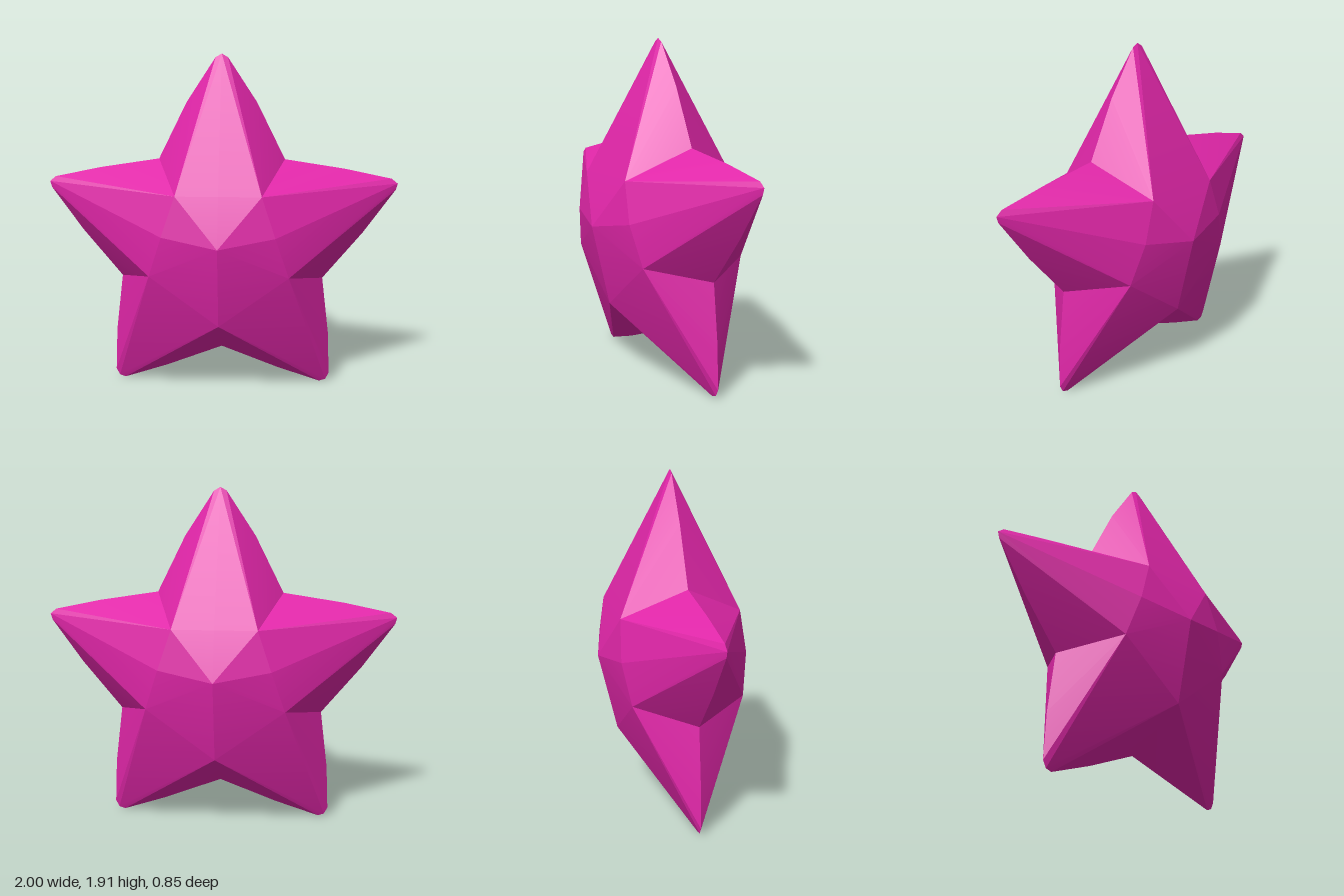
import * as THREE from 'three';
import { toCreasedNormals } from 'three/addons/utils/BufferGeometryUtils.js';

export function createModel() {
  const group = new THREE.Group();
  group.name = 'star';
  const magenta = new THREE.MeshStandardMaterial({ color: 0xe026a8 });
  magenta.name = 'magenta';

  // Puffy front: centre, valley corners and the raised root of the side arm
  const centre = [0, 0.875, 0.425];
  const upperValley = [0.235, 1.15, 0.34];
  const armRoot = [0.31, 0.927, 0.355];
  const lowerValley = [0.385, 0.7, 0.315];
  const bottomValley = [0, 0.42, 0.32];
  const topMiddle = [0, 1.15, 0.34];

  // Half outline in the z = 0 plane, one run per valley corner, tips blunted
  const topTip = [0, 1.91, 0], sideTip = [1, 1.185, 0], footTip = [0.615, 0.012, 0];
  const runs = [
    [upperValley, [topTip, [0.035, 1.89, 0], [0.2, 1.64, 0], [0.36, 1.32, 0],
      [0.7, 1.268, 0], [0.965, 1.213, 0], sideTip]],
    [lowerValley, [sideTip, [0.99, 1.15, 0], [0.81, 0.9, 0], [0.585, 0.63, 0],
      [0.625, 0.3, 0], [0.635, 0.05, 0], footTip]],
    [bottomValley, [footTip, [0.58, 0, 0], [0.33, 0.08, 0], [0, 0.205, 0]]],
  ];

  // Front quarter: arm faces, body fan, then the walls down to the outline
  const faces = [
    [topTip, topMiddle, upperValley],
    [sideTip, upperValley, armRoot],
    [sideTip, armRoot, lowerValley],
    [footTip, lowerValley, bottomValley],
  ];
  const rim = [topMiddle, upperValley, armRoot, lowerValley, bottomValley];
  const fan = (hub, pts) => {
    for (let i = 0; i < pts.length - 1; i++) faces.push([hub, pts[i], pts[i + 1]]);
  };
  fan(centre, rim);
  runs.forEach(([hub, pts]) => fan(hub, pts));

  // Mirror the quarter to all four sides and turn every face outward
  const middle = new THREE.Vector3(0, 0.87, 0);
  const positions = [];
  for (const sx of [1, -1]) for (const sz of [1, -1]) {
    for (const face of faces) {
      const [a, b, c] = face.map(([x, y, z]) => new THREE.Vector3(x * sx, y, z * sz));
      const normal = b.clone().sub(a).cross(c.clone().sub(a));
      const outward = normal.dot(a.clone().sub(middle)) > 0;
      for (const p of outward ? [a, b, c] : [a, c, b]) positions.push(p.x, p.y, p.z);
    }
  }
  const geometry = new THREE.BufferGeometry();
  geometry.setAttribute('position', new THREE.Float32BufferAttribute(positions, 3));

  const body = new THREE.Mesh(toCreasedNormals(geometry, 0.2), magenta);
  body.name = 'starBody';
  group.add(body);
  return group;
}
